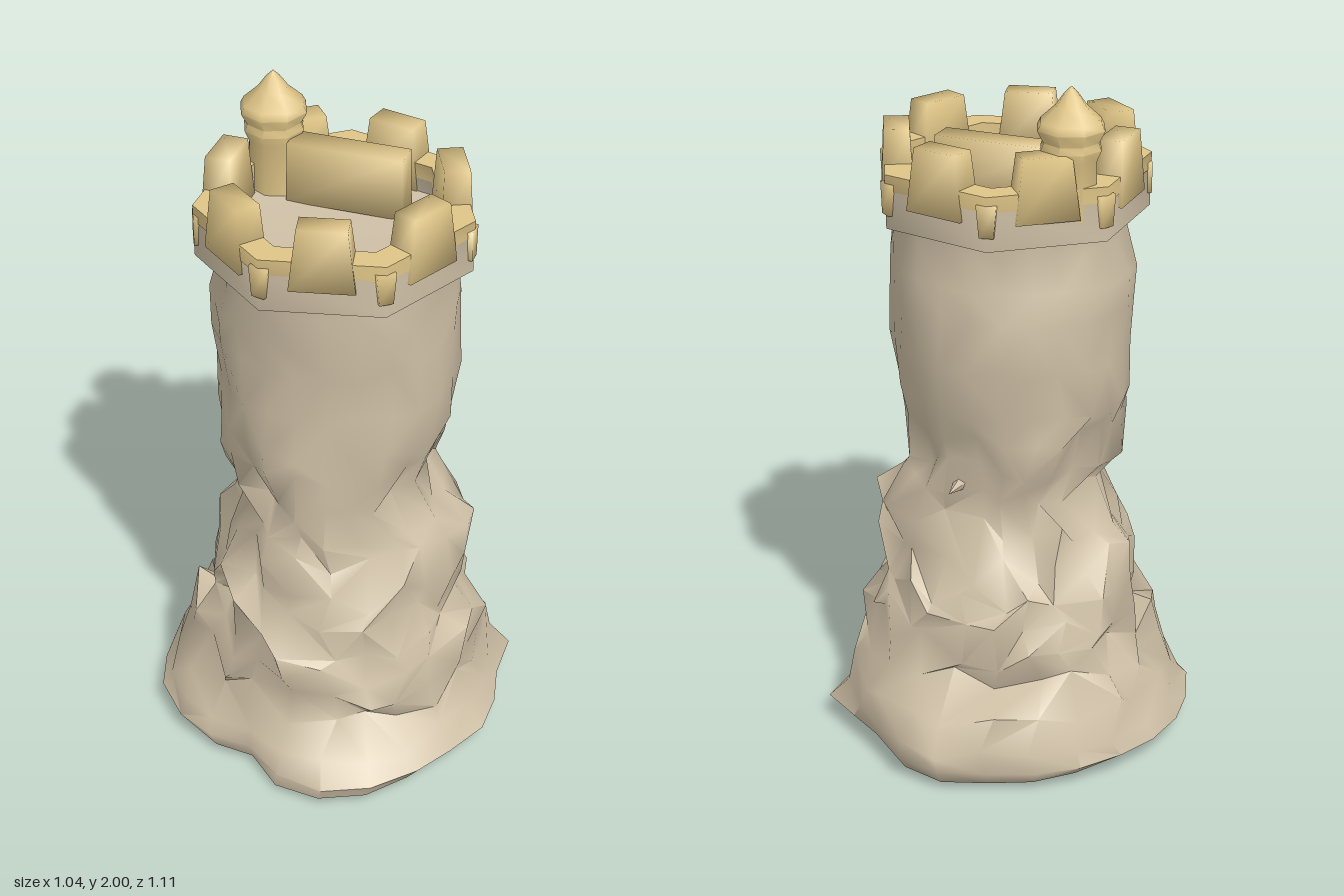
import * as THREE from 'three';
import { toCreasedNormals } from 'three/addons/utils/BufferGeometryUtils.js';

const CX = 0.012, CZ = 0.025, SIDES = 7, STEP = Math.PI * 2 / SIDES;

// Repeatable value in -1..1 for a pair of integers
function jitter(i, j) {
  const s = Math.sin(i * 127.1 + j * 311.7 + 4.2) * 43758.5453;
  return (s - Math.floor(s)) * 2 - 1;
}

// Indexed surface through rings of points, closed at both ends by a centre point
function skin(rings, bottom, top) {
  const n = rings[0].length, pos = [], idx = [];
  rings.forEach(r => r.forEach(p => pos.push(...p)));
  const b = rings.length * n, t = b + 1, last = (rings.length - 1) * n;
  pos.push(...bottom, ...top);
  for (let j = 0; j < n; j++) {
    const k = (j + 1) % n;
    for (let i = 0; i < rings.length - 1; i++) {
      const a = i * n + j, c = i * n + k;
      if (jitter(i + 9, j) > 0) idx.push(a, a + n, c, c, a + n, c + n);
      else idx.push(a, a + n, c + n, a, c + n, c);
    }
    idx.push(b, j, k, t, last + k, last + j);
  }
  const g = new THREE.BufferGeometry();
  g.setAttribute('position', new THREE.Float32BufferAttribute(pos, 3));
  g.setIndex(idx);
  return toCreasedNormals(g, 1);
}

// Heptagonal ring, flat on top at the given height
function ring(outer, inner, top, height) {
  const pts = r => Array.from({ length: SIDES }, (_, k) =>
    new THREE.Vector2(CX + r * Math.cos(k * STEP), CZ + r * Math.sin(k * STEP)));
  const s = new THREE.Shape(pts(outer));
  s.holes.push(new THREE.Path(pts(inner)));
  const g = new THREE.ExtrudeGeometry(s, { depth: height, bevelEnabled: false });
  return toCreasedNormals(g.rotateX(Math.PI / 2).translate(0, top, 0), 1);
}

// Soft-edged box whose top narrows
function taperedBox(w, h, d, topW, topD) {
  const g = new THREE.BoxGeometry(w, h, d), p = g.attributes.position;
  for (let i = 0; i < p.count; i++) {
    if (p.getY(i) > 0) p.setXYZ(i, p.getX(i) * topW, p.getY(i), p.getZ(i) * topD);
  }
  return toCreasedNormals(g, 1.8);
}

export function createModel() {
  const model = new THREE.Group();
  const stone = new THREE.MeshStandardMaterial({ color: 0xd0c1a7 });
  const gold = new THREE.MeshStandardMaterial({ color: 0xdfc587 });
  stone.name = 'stone';
  gold.name = 'gold';
  const add = (name, geo, mat, x = 0, y = 0, z = 0) => {
    const m = new THREE.Mesh(geo, mat);
    m.name = name;
    m.position.set(x, y, z);
    model.add(m);
    return m;
  };

  // Rocky tower body: height, left, right, back and front extents, roughness
  const rows = [
    [0.02, 0.49, 0.49, 0.50, 0.52, 0.005], [0.065, 0.53, 0.53, 0.53, 0.53, 0.005],
    [0.12, 0.50, 0.49, 0.53, 0.50, 0.02], [0.20, 0.48, 0.46, 0.50, 0.43, 0.035],
    [0.29, 0.44, 0.46, 0.41, 0.44, 0.04], [0.36, 0.41, 0.45, 0.41, 0.43, 0.045],
    [0.43, 0.39, 0.41, 0.41, 0.42, 0.045], [0.51, 0.38, 0.39, 0.37, 0.41, 0.045],
    [0.60, 0.37, 0.41, 0.33, 0.35, 0.045], [0.70, 0.31, 0.40, 0.29, 0.34, 0.04],
    [0.79, 0.28, 0.34, 0.29, 0.34, 0.04], [0.88, 0.31, 0.29, 0.30, 0.36, 0.04],
    [0.99, 0.33, 0.32, 0.29, 0.36, 0.025], [1.06, 0.345, 0.34, 0.30, 0.35, 0.015],
    [1.20, 0.335, 0.355, 0.32, 0.35, 0.014], [1.35, 0.355, 0.35, 0.33, 0.355, 0.014],
    [1.44, 0.35, 0.35, 0.31, 0.365, 0.014], [1.54, 0.315, 0.34, 0.30, 0.37, 0.012],
    [1.61, 0.32, 0.34, 0.30, 0.37, 0]
  ];
  // Radius of the spreading foot every 15 degrees, from +x towards +z
  const foot = [0.515, 0.53, 0.53, 0.545, 0.57, 0.575, 0.535, 0.46, 0.50, 0.525, 0.54, 0.53,
    0.53, 0.52, 0.525, 0.525, 0.53, 0.53, 0.555, 0.54, 0.50, 0.505, 0.555, 0.505];
  // Hollows and outcrops: angle, height, depth, angular width, height spread
  const bumps = [
    [2.35, 0.47, -0.05, 0.35, 0.08], [2.05, 0.91, -0.05, 0.25, 0.06],
    [1.30, 0.38, 0.02, 0.5, 0.04], [1.00, 0.60, 0.03, 0.25, 0.06],
    [2.00, 0.66, 0.03, 0.3, 0.06], [3.55, 0.58, 0.03, 0.35, 0.07],
    [0.00, 0.52, -0.02, 0.4, 0.08]
  ];
  const rings = rows.map(([y, l, r, b, f, rough], i) => foot.map((footR, j) => {
    const base = j / foot.length * Math.PI * 2;
    const a = base + jitter(i, j + 70) * rough * 2;
    const c = Math.cos(a), s = Math.sin(a);
    const spread = 1 + (footR / 0.53 - 1) * [1, 1, 0.7][Math.min(i, 2)] * (i < 3);
    let d = (jitter(i, j) - 0.4) * rough * 0.8;
    for (const [ba, by, depth, wa, wy] of bumps) {
      const da = Math.atan2(Math.sin(base - ba), Math.cos(base - ba));
      d += depth * Math.exp(-((da / wa) ** 2) - ((y - by) / wy) ** 2);
    }
    const lift = i === 0 ? 0.025 * c * c : jitter(i + 40, j) * rough;
    return [c * ((c < 0 ? l : r) * spread + d), y + lift, s * ((s < 0 ? b : f) * spread + d)];
  }));
  add('rockyTower', skin(rings, [0, 0, 0], [CX, 1.61, CZ]), stone);

  // Shard on the back ledge
  const shard = toCreasedNormals(new THREE.ConeGeometry(0.03, 0.12, 5).rotateX(-Math.PI / 2), 1.3);
  add('shard', shard, stone, 0.05, 0.84, -0.28);

  // Parapet
  add('parapetWall', ring(0.39, 0.31, 1.69, 0.11), stone);
  add('parapetCap', ring(0.392, 0.31, 1.735, 0.045), gold);

  // Slightly dished roof floor
  const floor = new THREE.CircleGeometry(0.32, SIDES).rotateX(-Math.PI / 2);
  floor.attributes.position.setY(0, -0.02);
  floor.computeVertexNormals();
  add('roofFloor', floor, stone, CX, 1.65, CZ);

  // Merlons on the sides and corbels on the corners
  for (let k = 0; k < SIDES; k++) {
    const place = (name, geo, a, r, y) => {
      const m = add(name, geo, gold, CX + r * Math.cos(a), y, CZ + r * Math.sin(a));
      m.rotation.y = Math.PI / 2 - a;
    };
    place('merlon', taperedBox(0.18, 0.18, 0.09, 0.76, 0.8), (k + 0.5) * STEP, 0.318, 1.74);
    place('corbel', taperedBox(0.04, 0.09, 0.04, 1.4, 1), k * STEP, 0.372, 1.665);
  }

  // Beam across the roof
  add('roofBeam', taperedBox(0.34, 0.18, 0.085, 0.98, 0.95), gold, 0, 1.73, -0.11);

  // Corner turret with a pointed roof
  const profile = [[0, 1.64], [0.075, 1.64], [0.075, 1.80], [0.088, 1.83], [0.08, 1.85],
    [0.098, 1.885], [0.088, 1.905], [0.045, 1.945], [0.02, 1.98], [0, 2]];
  const turret = new THREE.LatheGeometry(profile.map(p => new THREE.Vector2(...p)), 8);
  add('turret', toCreasedNormals(turret, 0.9), gold, -0.23, 0, -0.14);

  return model;
}
